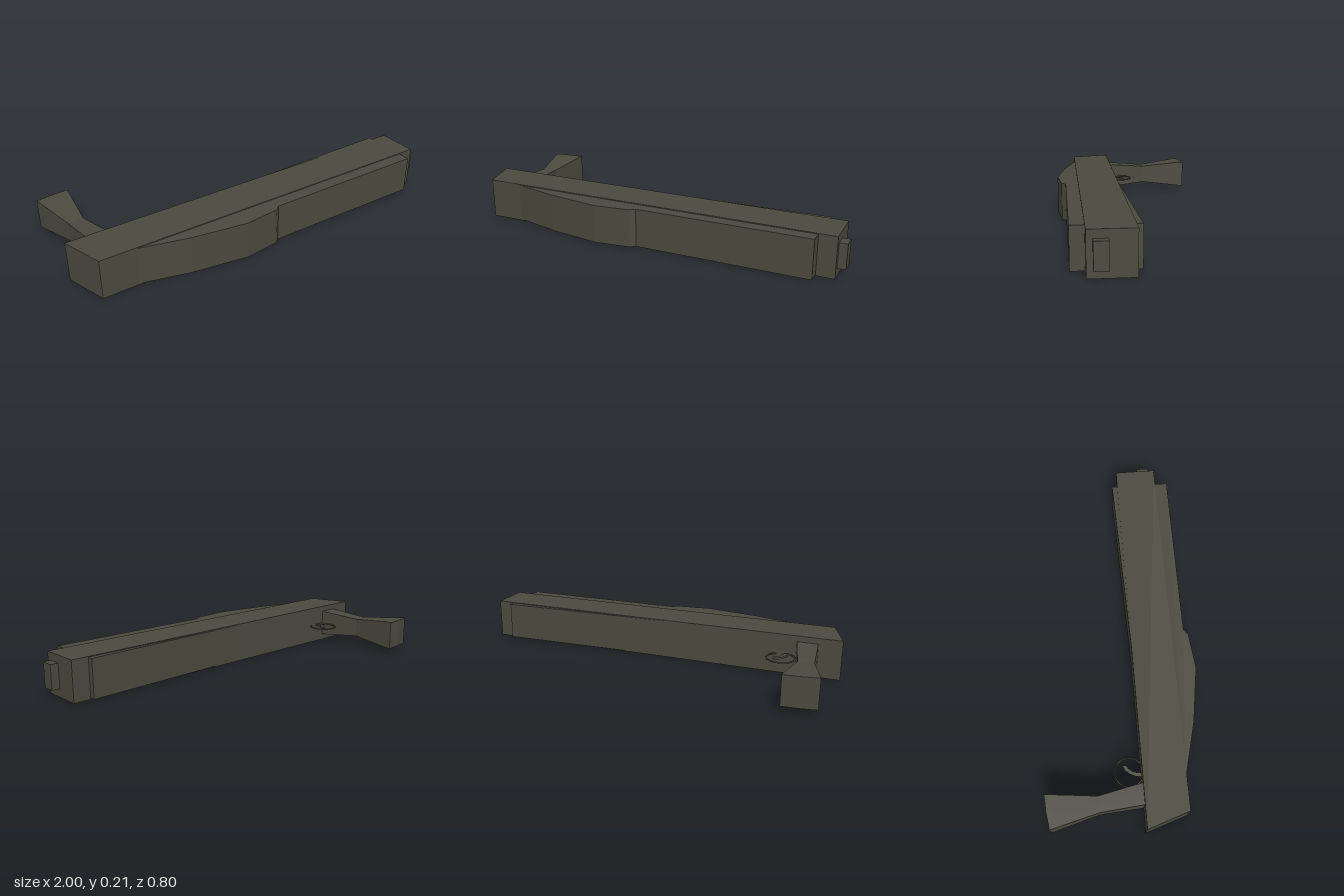
import * as THREE from 'three';

const olive = new THREE.MeshStandardMaterial({ color: 0x4a4a3f });
olive.name = 'dark olive';

// Slab with its outline given in x and z, spanning y0 to y1
function slab(name, outline, y0, y1) {
  const shape = new THREE.Shape(outline.map(([x, z]) => new THREE.Vector2(x, z)));
  const geo = new THREE.ExtrudeGeometry(shape, { depth: y1 - y0, bevelEnabled: false });
  geo.rotateX(Math.PI / 2).translate(0, y1, 0);
  return named(name, geo);
}

function named(name, geo) {
  const mesh = new THREE.Mesh(geo, olive);
  mesh.name = name;
  return mesh;
}

// Grip lofted through rectangular sections, from the flared end to the root
function gripGeometry() {
  const sections = [
    { l: -0.965, r: -0.797, zl: -0.383, zr: -0.402, h: 0.152 },
    { l: -0.961, r: -0.799, zl: -0.367, zr: -0.375, h: 0.152 },
    { l: -0.9, r: -0.82, zl: -0.14, zr: -0.145, h: 0.102 },
    { l: -0.88, r: -0.773, zl: 0.09, zr: 0.09, h: 0.145 },
  ];
  const box = new THREE.BoxGeometry(1, 1, 1, 2, 1, 3);
  const p = box.attributes.position;
  for (let i = 0; i < p.count; i++) {
    const s = sections[Math.round((p.getZ(i) + 0.5) * 3)];
    const t = p.getX(i) + 0.5;
    const bulge = s === sections[0] && t === 0.5 ? -0.004 : 0;
    p.setXYZ(i, THREE.MathUtils.lerp(s.l, s.r, t), 0.104 + p.getY(i) * s.h,
      THREE.MathUtils.lerp(s.zl, s.zr, t) + bulge);
  }
  const geo = box.toNonIndexed();
  geo.computeVertexNormals();
  return geo;
}

export function createModel() {
  const model = new THREE.Group();
  model.name = 'model';

  // Long central body with a slanted rear
  model.add(slab('body', [[-1, 0.08], [0.96, 0.08], [0.96, 0.293], [-0.93, 0.293]], 0, 0.206));

  // Bulged cover along the front side
  model.add(slab('cover', [
    [-0.75, 0.285], [0.872, 0.285], [0.872, 0.358], [-0.01, 0.358],
    [-0.037, 0.38], [-0.22, 0.4], [-0.5, 0.357], [-0.75, 0.293],
  ], 0.006, 0.202));

  // Tapered rail along the back side
  model.add(slab('rail', [[-0.08, 0.085], [-0.08, 0.08], [0.872, 0.051], [0.872, 0.085]], 0.006, 0.202));

  // Small block at the tip
  model.add(slab('tip', [[0.95, 0.2], [1, 0.2], [1, 0.265], [0.95, 0.265]], 0.042, 0.167));

  model.add(named('grip', gripGeometry()));

  // Thin ring with a curved lever inside it
  const ring = new THREE.TorusGeometry(0.072, 0.004, 8, 40);
  ring.rotateX(Math.PI / 2).translate(-0.71, 0.101, 0.019);
  model.add(named('guardRing', ring));

  const lever = slab('lever', [
    [-0.737, 0.085], [-0.732, 0.05], [-0.718, 0.02], [-0.697, -0.003], [-0.675, -0.012],
    [-0.675, 0.008], [-0.69, 0.016], [-0.705, 0.034], [-0.714, 0.058], [-0.717, 0.085],
  ], 0.096, 0.106);
  model.add(lever);

  return model;
}
